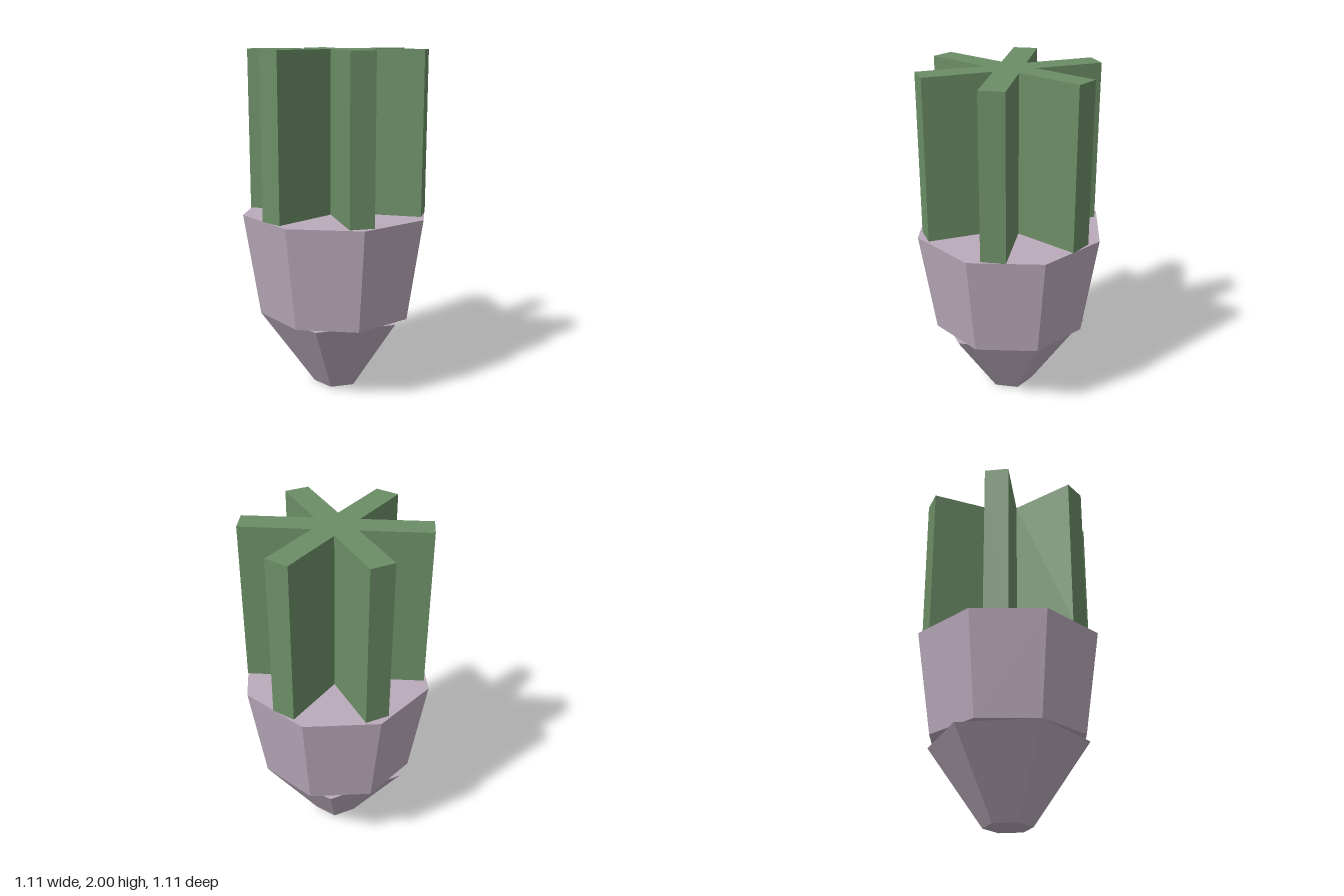
import * as THREE from 'three';

export function createModel() {
  const model = new THREE.Group();
  const lilac = new THREE.MeshStandardMaterial({ color: 0xbbabbc, flatShading: true });
  lilac.name = 'lilac';
  const green = new THREE.MeshStandardMaterial({ color: 0x6b8d66, flatShading: true });
  green.name = 'green';

  function add(name, geometry, material, y) {
    const mesh = new THREE.Mesh(geometry, material);
    mesh.name = name;
    mesh.position.y = y;
    model.add(mesh);
    return mesh;
  }

  // Six-sided blunt nose, with corners on the x axis
  const nose = add('nose', new THREE.CylinderGeometry(0.465, 0.14, 0.47, 6), lilac, 0.235);
  nose.rotation.y = Math.PI / 2;

  // Eight-sided flared body
  add('body', new THREE.CylinderGeometry(0.557, 0.465, 0.6, 8), lilac, 0.77);

  // Six crossed fins as one extruded star
  const half = 0.07, reach = 0.512;
  const points = [];
  for (let i = 0; i < 6; i++) {
    const a = Math.PI / 6 + i * Math.PI / 3;
    const c = Math.cos(a), s = Math.sin(a);
    // inner corner before the fin, then the two tip corners
    points.push(
      new THREE.Vector2(2 * half * Math.cos(a - Math.PI / 6), 2 * half * Math.sin(a - Math.PI / 6)),
      new THREE.Vector2(reach * c + half * s, reach * s - half * c),
      new THREE.Vector2(reach * c - half * s, reach * s + half * c)
    );
  }
  const finGeometry = new THREE.ExtrudeGeometry(new THREE.Shape(points), { depth: 0.93, bevelEnabled: false });
  finGeometry.rotateX(-Math.PI / 2);
  add('tailFins', finGeometry, green, 1.07);

  return model;
}
